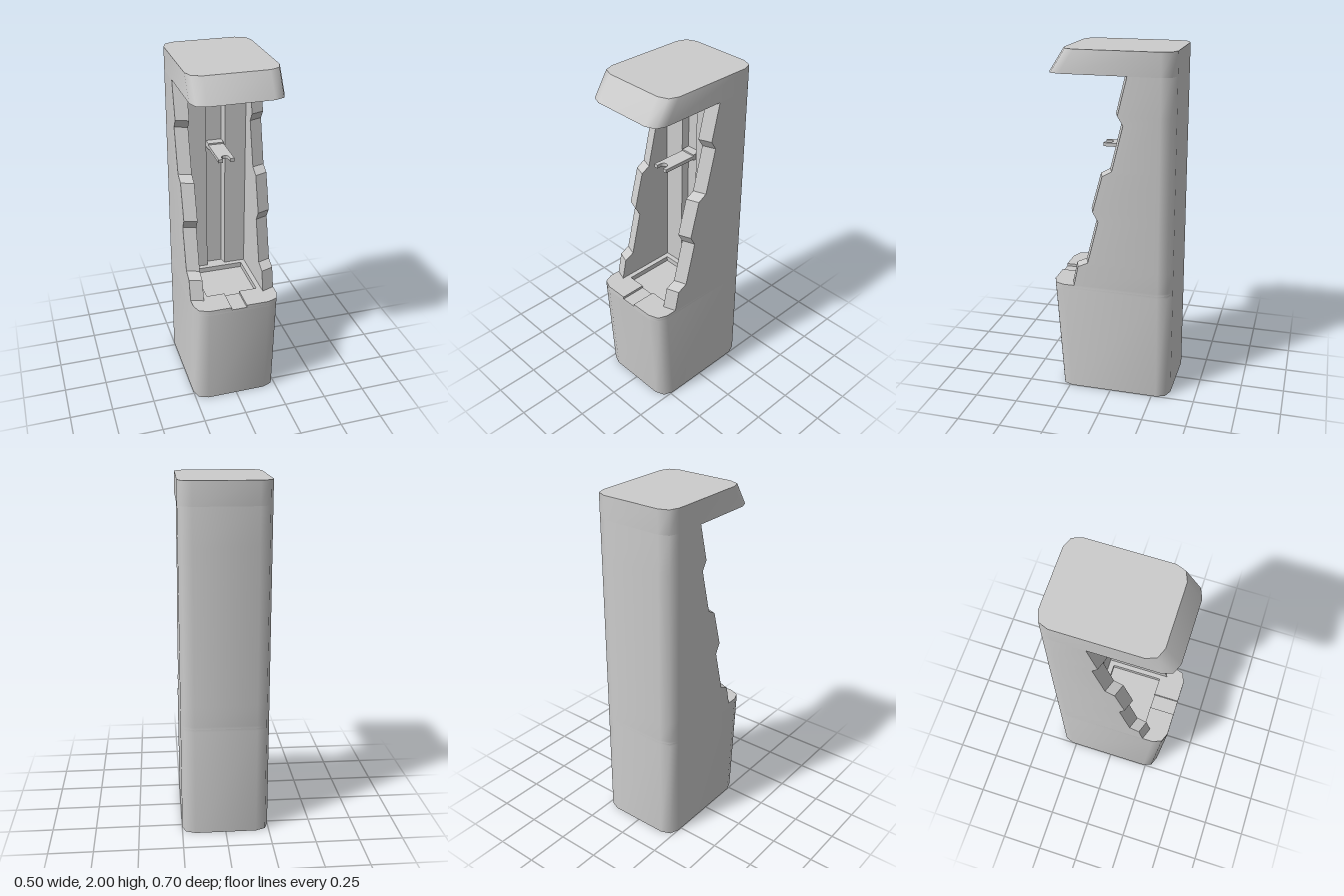
import * as THREE from 'three';
import { mergeGeometries, toCreasedNormals } from 'three/addons/utils/BufferGeometryUtils.js';

const material = new THREE.MeshStandardMaterial({ color: 0xcccccc });

// Plan outline as [x, z], from front -x corner round to the -x side
function outline(front) {
  const corner = [[0.175, 0], [0.23, 0.022], [0.25, 0.075]];
  const frontRight = corner.map(([x, d]) => [x, front - d]);
  const backRight = corner.map(([x, d]) => [x, -0.35 + d]).reverse();
  const right = [...frontRight, ...backRight];
  return [...right, ...right.map(([x, z]) => [-x, z]).reverse()];
}

// Skin between stacked rings { y, pts }; crease is the smoothing angle
function loft(rings, closed, crease) {
  const pos = [];
  for (let r = 0; r < rings.length - 1; r++) {
    const lo = rings[r], hi = rings[r + 1], n = lo.pts.length;
    for (let i = 0; i < (closed ? n : n - 1); i++) {
      const j = (i + 1) % n;
      const at = (ring, k) => [ring.pts[k][0], ring.y, ring.pts[k][1]];
      const a = at(lo, i), b = at(lo, j), c = at(hi, j), d = at(hi, i);
      pos.push(...a, ...b, ...c, ...a, ...c, ...d);
    }
  }
  const geo = new THREE.BufferGeometry();
  geo.setAttribute('position', new THREE.Float32BufferAttribute(pos, 3));
  geo.computeVertexNormals();
  return crease ? toCreasedNormals(geo, crease) : geo;
}

// Flat lid on a plan outline, facing up or down
function cap(pts, y, up) {
  const s = up ? -1 : 1;
  const shape = new THREE.Shape(pts.map(([x, z]) => new THREE.Vector2(x, s * z)));
  const geo = new THREE.ShapeGeometry(shape).toNonIndexed();
  geo.deleteAttribute('uv');
  return geo.rotateX(s * Math.PI / 2).translate(0, y, 0);
}

const planShape = pts => new THREE.Shape(pts.map(([x, z]) => new THREE.Vector2(x, -z)));

// Horizontal slab from a plan shape
function slab(shape, y0, y1) {
  const geo = new THREE.ExtrudeGeometry(shape, { depth: y1 - y0, bevelEnabled: false, curveSegments: 8 });
  return toCreasedNormals(geo.rotateX(-Math.PI / 2).translate(0, y0, 0), 1);
}

// Closed block between two outlines
function block(y0, front0, y1, front1) {
  const lo = outline(front0), hi = outline(front1);
  return mergeGeometries([
    loft([{ y: y0, pts: lo }, { y: y1, pts: hi }], true, 1),
    cap(lo, y0, false), cap(hi, y1, true),
  ]);
}

export function createModel() {
  const model = new THREE.Group();
  const add = (name, geo, parent = model) => {
    const mesh = new THREE.Mesh(geo, material);
    mesh.name = name;
    parent.add(mesh);
  };

  // Base, with a sunken tray and a spill notch through its front rim
  const base = new THREE.Group();
  base.name = 'base';
  model.add(base);
  add('baseBody', block(0, 0.31, 0.63, 0.349), base);
  const lowerRim = planShape(outline(0.35));
  const tray = [[-0.15, 0.2], [-0.15, -0.1], [0.15, -0.1], [0.15, 0.2]];
  lowerRim.holes.push(new THREE.Path(tray.map(([x, z]) => new THREE.Vector2(x, -z))));
  add('trayLowerRim', slab(lowerRim, 0.63, 0.645), base);
  const notched = [[-0.045, 0.35], [-0.045, 0.2], ...tray, [0.045, 0.2], [0.045, 0.35], ...outline(0.35)];
  add('trayUpperRim', slab(planShape(notched), 0.645, 0.66), base);

  // Stepped front edge of the side walls: [z, y]
  const steps = [[0.213, 0.66], [0.187, 0.78], [0.129, 0.808], [0.066, 1.06], [0.097, 1.115],
    [0.04, 1.325], [-0.013, 1.355], [-0.076, 1.61], [-0.045, 1.66], [-0.097, 1.87]];

  // Outer shell of the column
  const backRight = outline(0.35).slice(3, 6);
  const shell = steps.map(([z, y]) => {
    const half = [[0.25, z], ...backRight];
    return { y, pts: [...half, ...half.map(([x, w]) => [-x, w]).reverse()] };
  });
  add('columnShell', loft(shell, false, 1));

  // Slanted wall edges, inner walls, back panel and its guide groove
  const alcove = steps.map(([z, y]) => {
    const half = [[-0.25, z], [-0.178, z + 0.026], [-0.178, -0.13], [-0.055, -0.13], [-0.045, -0.17]];
    return { y, pts: [...half, ...half.map(([x, w]) => [-x, w]).reverse()] };
  });
  add('alcove', loft(alcove, false, 0));

  // Overhanging head with sloped front
  add('head', block(1.87, 0.35, 2, 0.265));

  // Forked holder arm on a carriage in the groove
  const arm = new THREE.Shape();
  arm.moveTo(-0.045, 0.17);
  arm.lineTo(0.045, 0.17);
  arm.lineTo(0.045, -0.09);
  arm.lineTo(0.022, -0.09);
  arm.lineTo(0.022, -0.065);
  arm.absarc(0, -0.065, 0.022, 0, Math.PI, false);
  arm.lineTo(-0.022, -0.09);
  arm.lineTo(-0.045, -0.09);
  const holder = new THREE.Group();
  holder.name = 'holder';
  model.add(holder);
  add('holderArm', slab(arm, 1.44, 1.46), holder);
  add('holderCarriage', new THREE.BoxGeometry(0.09, 0.037, 0.05).translate(0, 1.45, -0.145), holder);

  return model;
}
